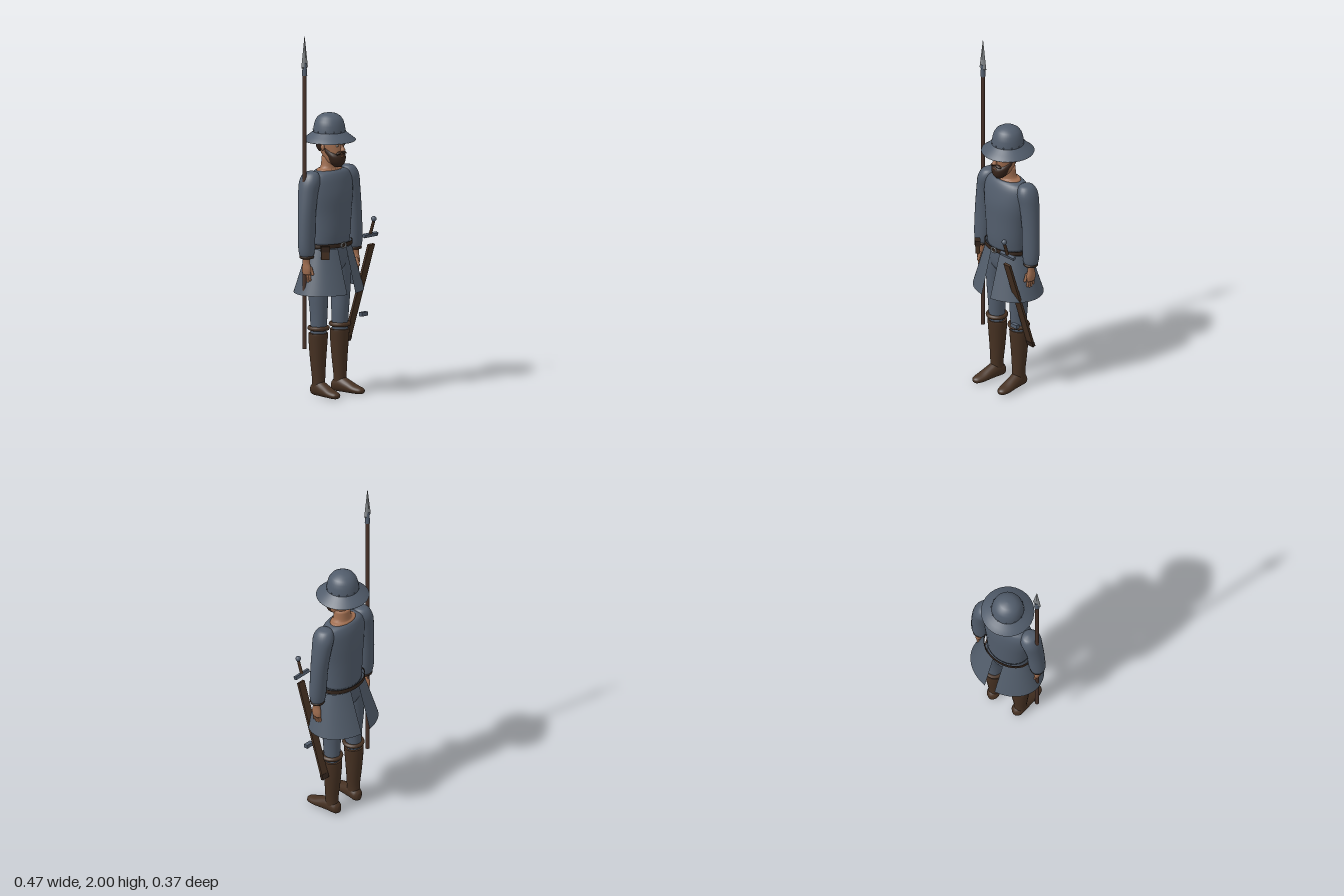
import * as THREE from 'three';

const mat = (name, color, side = THREE.FrontSide) => {
  const m = new THREE.MeshStandardMaterial({ color, side });
  m.name = name;
  return m;
};

// Smooth elliptical loft through [y, centreX, centreZ, radiusX, radiusZ], bottom to top
function loft(sections, sides = 24, steps = 4) {
  const mid = new THREE.CatmullRomCurve3(sections.map(s => new THREE.Vector3(s[1], s[0], s[2])), false, 'catmullrom');
  const rad = new THREE.CatmullRomCurve3(sections.map(s => new THREE.Vector3(s[3], s[4], 0)), false, 'catmullrom');
  const rings = (sections.length - 1) * steps;
  const pos = [], idx = [];
  for (let i = 0; i <= rings; i++) {
    const c = mid.getPoint(i / rings), r = rad.getPoint(i / rings);
    for (let j = 0; j < sides; j++) {
      const a = j / sides * Math.PI * 2;
      pos.push(c.x + Math.cos(a) * r.x, c.y, c.z + Math.sin(a) * r.y);
    }
  }
  for (let i = 0; i < rings; i++) for (let j = 0; j < sides; j++) {
    const a = i * sides + j, b = i * sides + (j + 1) % sides, c = a + sides, d = b + sides;
    idx.push(a, c, b, b, c, d);
  }
  // end caps
  const n = pos.length / 3, lo = sections[0], hi = sections[sections.length - 1], top = rings * sides;
  pos.push(lo[1], lo[0], lo[2], hi[1], hi[0], hi[2]);
  for (let j = 0; j < sides; j++) {
    const k = (j + 1) % sides;
    idx.push(n, j, k, n + 1, top + k, top + j);
  }
  const g = new THREE.BufferGeometry();
  g.setAttribute('position', new THREE.Float32BufferAttribute(pos, 3));
  g.setIndex(idx);
  g.computeVertexNormals();
  return g;
}

const lathe = (pts, seg = 40) => new THREE.LatheGeometry(pts.map(p => new THREE.Vector2(p[0], p[1])), seg);

export function createModel() {
  const root = new THREE.Group();
  root.name = 'spearman';
  const cloth = mat('blueGreyCloth', 0x525d6c);
  const skirtCloth = mat('skirtCloth', 0x525d6b, THREE.DoubleSide);
  const leather = mat('brownLeather', 0x463122);
  const darkLeather = mat('darkLeather', 0x33251c);
  const skin = mat('skin', 0xa06e50);
  const hairMat = mat('hair', 0x35231a);
  const wood = mat('wood', 0x49332a);
  const steel = mat('paleSteel', 0x8d9194);
  const eyeWhite = mat('eyeWhite', 0xc9c2b8);

  const add = (name, geo, material, x = 0, y = 0, z = 0, parent = root) => {
    const m = new THREE.Mesh(geo, material);
    m.name = name;
    m.position.set(x, y, z);
    parent.add(m);
    return m;
  };
  const box = (w, h, d) => new THREE.BoxGeometry(w, h, d);
  const ball = (r, sx = 1, sy = 1, sz = 1) => new THREE.SphereGeometry(r, 12, 8).scale(sx, sy, sz);

  // Tunic and hips
  add('tunic', loft([
    [0.835, 0, -0.003, 0.122, 0.09], [0.9, 0, 0, 0.127, 0.094], [1.0, 0, 0, 0.135, 0.095],
    [1.1, 0, 0, 0.148, 0.094], [1.18, 0, -0.004, 0.15, 0.083], [1.22, 0, -0.006, 0.13, 0.07],
    [1.236, 0, -0.008, 0.092, 0.058]], 32), cloth);
  add('hips', loft([
    [0.67, 0, -0.006, 0.06, 0.05], [0.72, 0, -0.006, 0.115, 0.078], [0.79, 0, -0.005, 0.122, 0.085],
    [0.85, 0, -0.004, 0.118, 0.084]]), cloth);

  // Split skirt, one flaring panel per side
  for (const s of [1, -1]) {
    const g = new THREE.PlaneGeometry(1, 1, 28, 6);
    const p = g.attributes.position;
    for (let i = 0; i < p.count; i++) {
      const u = p.getX(i) + 0.5, t = 0.5 - p.getY(i);
      const rx = 0.14 + 0.072 * t, rz = 0.094 + 0.075 * t;
      const edge = Math.acos(0.032 / rx), a = edge * (2 * u - 1);
      p.setXYZ(i, s * rx * Math.cos(a), 0.815 - 0.245 * t, -0.005 - 0.005 * t + rz * Math.sin(a));
    }
    g.computeVertexNormals();
    add(s > 0 ? 'leftSkirtPanel' : 'rightSkirtPanel', g, skirtCloth);
  }

  // Belt, buckle and pouch
  add('belt', lathe([[0.99, 0.82], [1.03, 0.82], [1.03, 0.842], [0.99, 0.842]]).scale(0.14, 1, 0.098), darkLeather, 0, 0, -0.004);
  const buckle = add('buckle', new THREE.TorusGeometry(0.014, 0.004, 8, 16), steel, 0, 0.831, 0.1);
  buckle.scale.x = 1.3;
  const pouch = new THREE.Group();
  pouch.name = 'pouch';
  pouch.position.set(-0.133, 0.805, 0.09);
  pouch.rotation.y = -0.75;
  root.add(pouch);
  add('pouchBag', box(0.045, 0.07, 0.025), leather, 0, 0, 0, pouch);
  add('pouchFlap', box(0.049, 0.03, 0.03), darkLeather, 0, 0.022, 0.001, pouch);

  // Arms, hands, legs and boots, mirrored
  for (const s of [1, -1]) {
    const side = s > 0 ? 'left' : 'right';
    add(side + 'Sleeve', loft([
      [0.778, s * 0.187, 0.002, 0.032, 0.032], [0.8, s * 0.187, 0.002, 0.044, 0.039],
      [0.86, s * 0.186, 0, 0.05, 0.043], [1.0, s * 0.18, -0.004, 0.05, 0.047],
      [1.12, s * 0.166, -0.008, 0.052, 0.055], [1.19, s * 0.152, -0.008, 0.053, 0.06],
      [1.232, s * 0.143, -0.008, 0.038, 0.042], [1.244, s * 0.138, -0.008, 0.008, 0.01]]), cloth);
    const cuff = add(side + 'Cuff', new THREE.TorusGeometry(0.031, 0.009, 8, 20), darkLeather, s * 0.188, 0.781, 0.003);
    cuff.rotation.x = Math.PI / 2;

    const hand = new THREE.Group();
    hand.name = side + 'Hand';
    hand.position.set(s * 0.192, 0, 0.005);
    root.add(hand);
    add('palm', loft([[0.685, 0, 0, 0.013, 0.027], [0.715, 0, 0, 0.017, 0.03],
      [0.75, 0, 0, 0.017, 0.022], [0.785, 0, 0, 0.022, 0.022]], 16), skin, 0, 0, 0, hand);
    for (let i = 0; i < 4; i++) {
      const len = [0.032, 0.04, 0.038, 0.03][i];
      const f = add('finger', new THREE.CapsuleGeometry(0.007, len, 4, 8), skin, -s * 0.004, 0.688 - len / 2, 0.021 - i * 0.014, hand);
      f.rotation.z = -s * 0.12;
    }
    const thumb = add('thumb', new THREE.CapsuleGeometry(0.008, 0.035, 4, 8), skin, -s * 0.012, 0.705, 0.028, hand);
    thumb.rotation.x = -0.35;

    const leg = new THREE.Group();
    leg.name = side + 'Leg';
    leg.position.x = s * 0.084;
    root.add(leg);
    add('trouserLeg', loft([
      [0.31, 0, -0.008, 0.042, 0.042], [0.38, 0, -0.007, 0.043, 0.045], [0.46, 0, -0.006, 0.046, 0.05],
      [0.57, s * 0.003, -0.007, 0.051, 0.058], [0.68, -s * 0.006, -0.007, 0.062, 0.067],
      [0.76, -s * 0.02, -0.006, 0.064, 0.07]]), cloth, 0, 0, 0, leg);
    const band = add('kneeBand', new THREE.TorusGeometry(0.049, 0.012, 8, 24), leather, 0, 0.375, -0.007, leg);
    band.rotation.x = Math.PI / 2;
    add('bootShaft', loft([
      [0.04, 0, -0.008, 0.034, 0.036], [0.1, 0, -0.007, 0.036, 0.036], [0.18, 0, -0.01, 0.043, 0.041],
      [0.27, 0, -0.011, 0.05, 0.048], [0.335, 0, -0.01, 0.055, 0.051], [0.348, 0, -0.01, 0.054, 0.05]]), leather, 0, 0, 0, leg);
    const foot = loft([
      [-0.058, 0, -0.032, 0.014, 0.02], [-0.04, 0, -0.037, 0.032, 0.034], [0, 0, -0.046, 0.036, 0.044],
      [0.05, 0, -0.037, 0.036, 0.035], [0.1, 0, -0.026, 0.036, 0.024], [0.14, 0, -0.021, 0.026, 0.017],
      [0.155, 0, -0.021, 0.008, 0.007]]).rotateX(Math.PI / 2);
    add('foot', foot, leather, 0, 0, 0, leg).rotation.y = s * 0.1;
  }

  // Head
  const head = new THREE.Group();
  head.name = 'head';
  root.add(head);
  const put = (name, geo, m, x, y, z) => add(name, geo, m, x, y, z, head);
  put('neck', loft([[1.19, 0, -0.008, 0.088, 0.055], [1.238, 0, -0.008, 0.084, 0.052],
    [1.25, 0, -0.005, 0.055, 0.044], [1.31, 0, -0.002, 0.046, 0.042]]), skin);
  put('face', loft([[1.265, 0, 0.045, 0.022, 0.028], [1.29, 0, 0.03, 0.044, 0.05], [1.34, 0, 0.012, 0.055, 0.072],
    [1.4, 0, 0.001, 0.062, 0.08], [1.46, 0, -0.005, 0.055, 0.068], [1.49, 0, -0.007, 0.02, 0.03]]), skin);
  put('hair', loft([[1.335, 0, -0.034, 0.042, 0.034], [1.36, 0, -0.03, 0.059, 0.05],
    [1.41, 0, -0.026, 0.067, 0.058], [1.45, 0, -0.024, 0.064, 0.055]]), hairMat);
  put('beard', loft([[1.258, 0, 0.056, 0.018, 0.022], [1.282, 0, 0.052, 0.042, 0.042],
    [1.315, 0, 0.046, 0.053, 0.047], [1.338, 0, 0.026, 0.058, 0.045], [1.36, 0, 0.015, 0.061, 0.02]]), hairMat);
  put('mouth', ball(0.014, 1, 0.28, 0.35), skin, 0, 1.319, 0.092);
  const nose = put('nose', new THREE.ConeGeometry(0.015, 0.05, 8), skin, 0, 1.372, 0.088);
  nose.rotation.x = -0.25;
  put('noseTip', ball(0.011), skin, 0, 1.354, 0.094);
  for (const s of [1, -1]) {
    put('moustache', ball(0.02, 1.1, 0.4, 0.6), hairMat, s * 0.018, 1.336, 0.082).rotation.z = -s * 0.25;
    put('eye', ball(0.009, 1.2, 0.6, 0.5), eyeWhite, s * 0.025, 1.376, 0.076);
    put('pupil', ball(0.004, 1, 1, 0.5), hairMat, s * 0.025, 1.376, 0.08);
    put('brow', box(0.032, 0.008, 0.01), hairMat, s * 0.026, 1.391, 0.076).rotation.y = s * 0.35;
    put('ear', ball(0.018, 0.45, 1, 0.7), skin, s * 0.062, 1.365, 0.002);
  }

  // Wide-brimmed helmet with rivets
  const helmet = new THREE.Group();
  helmet.name = 'helmet';
  helmet.position.z = -0.007;
  root.add(helmet);
  add('brim', lathe([[0.082, 1.435], [0.115, 1.412], [0.142, 1.395], [0.144, 1.399], [0.117, 1.42], [0.088, 1.443]]), cloth, 0, 0, 0, helmet);
  add('crown', lathe([[0.088, 1.436], [0.087, 1.455], [0.083, 1.48], [0.076, 1.504], [0.063, 1.524],
    [0.042, 1.538], [0.018, 1.544], [0, 1.545]]), cloth, 0, 0, 0, helmet);
  add('lining', lathe([[0.001, 1.445], [0.072, 1.44], [0.08, 1.42], [0.088, 1.436]]), leather, 0, 0, 0, helmet);
  for (let i = 0; i < 12; i++) {
    const a = i / 12 * Math.PI * 2;
    add('rivet', ball(0.004), cloth, Math.sin(a) * 0.088, 1.45, Math.cos(a) * 0.088, helmet);
  }

  // Spear
  const spear = new THREE.Group();
  spear.name = 'spear';
  spear.position.set(-0.193, 0, -0.008);
  root.add(spear);
  add('shaft', new THREE.CylinderGeometry(0.011, 0.012, 1.51, 12), wood, 0, 1.03, 0, spear);
  add('socket', new THREE.CylinderGeometry(0.01, 0.015, 0.07, 12), cloth, 0, 1.81, 0, spear);
  add('blade', new THREE.CylinderGeometry(0, 0.026, 0.178, 4).toNonIndexed().scale(1, 1, 0.4), steel, 0, 1.911, 0, spear);
  add('bladeBase', new THREE.CylinderGeometry(0.026, 0.012, 0.012, 4).scale(1, 1, 0.4), steel, 0, 1.816, 0, spear);

  // Sword, its top tilted forward
  const sword = new THREE.Group();
  sword.name = 'sword';
  sword.position.set(0.16, 0.545, 0.063);
  sword.rotation.x = Math.atan2(0.18, 0.55);
  root.add(sword);
  add('scabbard', box(0.045, 0.58, 0.014), leather, 0, 0, 0, sword);
  add('chape', box(0.047, 0.03, 0.017), darkLeather, 0, -0.277, 0, sword);
  add('grip', new THREE.CylinderGeometry(0.008, 0.009, 0.09, 10), leather, -0.002, 0.385, -0.022, sword);
  add('pommel', ball(0.015), cloth, -0.002, 0.432, -0.025, sword);
  add('guard', box(0.104, 0.018, 0.018), cloth, -0.002, 0.337, -0.021, sword);
  add('scabbardFitting', box(0.045, 0.022, 0.022), cloth, 0.16, 0.43, 0.095);

  return root;
}
